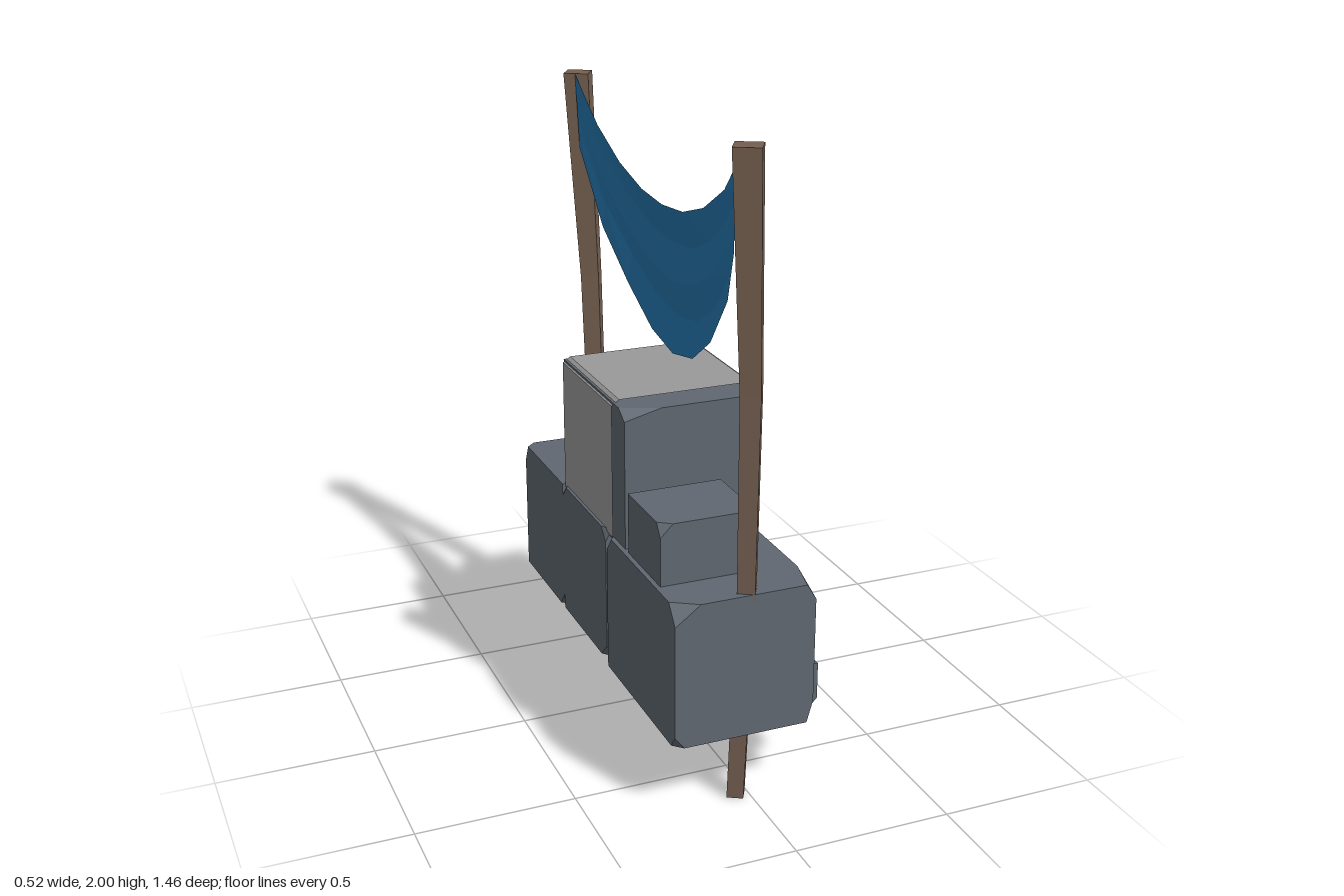
import * as THREE from 'three';
import { ConvexGeometry } from 'three/addons/geometries/ConvexGeometry.js';

const mat = (name, color, extra = {}) => {
  const m = new THREE.MeshStandardMaterial({ color, flatShading: true, ...extra });
  m.name = name;
  return m;
};

export function createModel() {
  const model = new THREE.Group();
  model.name = 'stoneStallWithAwning';
  const stone = mat('slateStone', 0x5f6770);
  const wood = mat('wood', 0x745f50);
  const blue = mat('blueCloth', 0x2575ad, { side: THREE.DoubleSide });
  const pale = mat('paleCloth', 0x999999, { side: THREE.DoubleSide });

  const add = (name, geometry, material) => {
    const mesh = new THREE.Mesh(geometry, material);
    mesh.name = name;
    model.add(mesh);
  };

  // Stone block between two corners; cuts chip the corners named by their x, y, z signs
  const block = (name, [x0, y0, z0], [x1, y1, z1], cuts = {}) => {
    const pts = [];
    for (const sx of [-1, 1]) for (const sy of [-1, 1]) for (const sz of [-1, 1]) {
      const key = [sx, sy, sz].map(s => (s > 0 ? '+' : '-')).join('');
      const c = [sx > 0 ? x1 : x0, sy > 0 ? y1 : y0, sz > 0 ? z1 : z0];
      const cut = cuts[key];
      if (!cut) pts.push(new THREE.Vector3(...c));
      else [sx, sy, sz].forEach((s, i) => {
        const p = [...c];
        p[i] -= s * cut[i];
        pts.push(new THREE.Vector3(...p));
      });
    }
    add(name, new ConvexGeometry(pts), stone);
  };

  // Lower row
  block('frontBase', [-0.26, 0.23, 0.15], [0.19, 0.69, 0.71], {
    '-++': [0.08, 0.06, 0.05], '+++': [0.03, 0.05, 0.13], '+-+': [0.02, 0.07, 0.04],
    '--+': [0.03, 0.04, 0.03], '-+-': [0.03, 0.05, 0.04],
  });
  block('middleBase', [-0.26, 0.245, -0.27], [0.23, 0.7, 0.14], {
    '+-+': [0.04, 0.08, 0.05], '++-': [0.03, 0.02, 0.04], '-++': [0.02, 0.04, 0.04],
    '-+-': [0.02, 0.04, 0.04], '--+': [0.04, 0.05, 0.05], '+--': [0.03, 0.04, 0.03],
  });
  block('backBase', [-0.26, 0.245, -0.67], [0.2, 0.7, -0.27], {
    '++-': [0.14, 0.05, 0.05], '+--': [0.05, 0.12, 0.03], '-+-': [0.03, 0.06, 0.03],
    '--+': [0.04, 0.05, 0.04],
  });

  // Slabs along the left side
  block('frontSideSlab', [0.15, 0.23, 0.15], [0.25, 0.37, 0.62], { '+-+': [0.02, 0.02, 0.02] });
  block('backSideSlab', [0.15, 0.245, -0.44], [0.26, 0.425, -0.27], { '++-': [0.02, 0.01, 0.02] });

  // Upper row
  block('tallBlock', [-0.245, 0.68, -0.275], [0.2, 1.135, 0.275], {
    '+++': [0.035, 0.13, 0.08], '-++': [0.12, 0.03, 0.05], '++-': [0.03, 0.04, 0.03],
  });
  block('frontTopBlock', [-0.245, 0.68, 0.3], [0.06, 0.885, 0.56], {
    '+++': [0.04, 0.05, 0.05], '+-+': [0.04, 0.08, 0.04], '-++': [0.04, 0.04, 0.03],
  });
  block('backTopBlock', [-0.09, 0.69, -0.56], [0.18, 0.92, -0.27], {
    '-++': [0.04, 0.03, 0.04], '+++': [0.02, 0.04, 0.03], '+--': [0.03, 0.13, 0.03],
    '-+-': [0.03, 0.03, 0.03],
  });

  // Grid sheet from a point function
  const sheet = (cols, rows, at) => {
    const g = new THREE.PlaneGeometry(1, 1, cols, rows);
    const p = g.attributes.position;
    for (let i = 0; i < p.count; i++) {
      p.setXYZ(i, ...at(i % (cols + 1), Math.floor(i / (cols + 1))));
    }
    const flat = g.toNonIndexed();
    flat.computeVertexNormals();
    return flat;
  };

  // Pale cover folded over the tall block
  const fold = [[-0.25, 0.69], [-0.25, 1.125], [-0.225, 1.143], [0.21, 1.143], [0.235, 1.125], [0.235, 0.69]];
  add('paleCover', sheet(5, 1, (c, r) => [...fold[c], r ? 0.18 : -0.27]), pale);

  // Hanging awning: columns run front to back, rows from top edge to hem
  const topEdge = [[0.64, 1.935], [0.54, 1.85], [0.37, 1.76], [0.2, 1.71], [0.03, 1.695],
    [-0.13, 1.71], [-0.3, 1.76], [-0.47, 1.85], [-0.645, 1.99]];
  const hem = [[0.64, 1.7], [0.54, 1.53], [0.37, 1.355], [0.2, 1.25], [0.03, 1.215],
    [-0.13, 1.25], [-0.3, 1.36], [-0.47, 1.51], [-0.61, 1.75]];
  const ripple = [-0.025, 0.008, 0.004, 0.03, 0.012];
  add('awning', sheet(8, 4, (c, r) => {
    const sag = Math.sin((Math.PI * c) / 8);
    const [z0, y0] = topEdge[c], [z1, y1] = hem[c], t = r / 4;
    return [-0.06 * (1 - sag) + ripple[r] * sag, y0 + (y1 - y0) * t, z0 + (z1 - z0) * t];
  }), blue);

  // Square tapered posts, each ring given as x, y, z, radius
  const post = (name, rings) => {
    const g = new THREE.CylinderGeometry(1, 1, 1, 4, 3, false, 0.27);
    const p = g.attributes.position;
    for (let i = 0; i < p.count; i++) {
      const [x, y, z, r] = rings[Math.round((0.5 - p.getY(i)) * 3)];
      p.setXYZ(i, x + p.getX(i) * r, y, z + p.getZ(i) * r);
    }
    const flat = g.toNonIndexed();
    flat.computeVertexNormals();
    add(name, flat, wood);
  };
  post('frontPost', [[-0.038, 2, 0.675, 0.058], [-0.018, 1.3, 0.678, 0.043], [-0.02, 0.7, 0.675, 0.038], [-0.038, 0, 0.658, 0.036]]);
  post('backPost', [[-0.038, 1.99, -0.678, 0.058], [-0.018, 1.3, -0.632, 0.043], [-0.018, 0.7, -0.588, 0.038], [-0.036, 0, -0.54, 0.036]]);

  return model;
}
